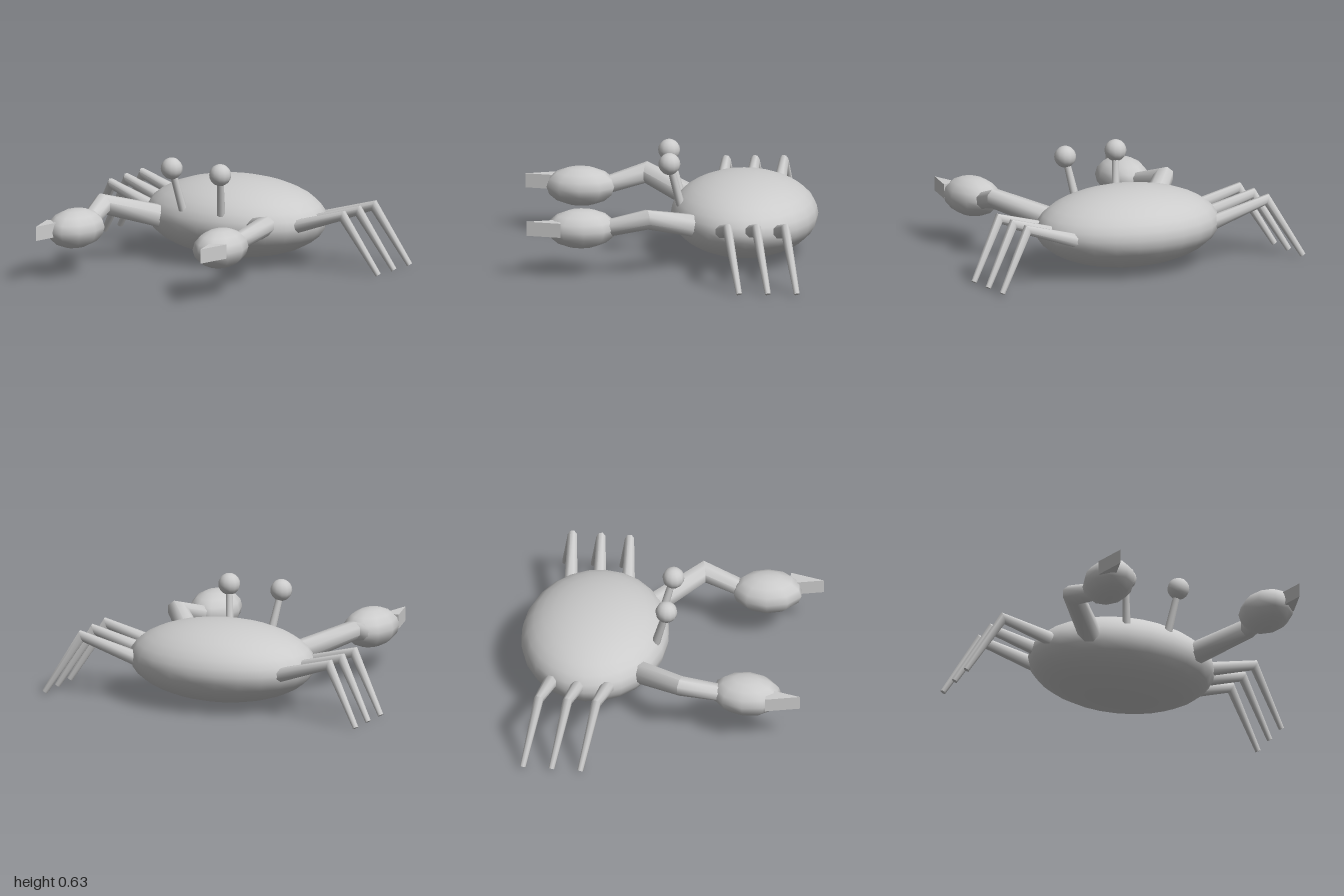
import * as THREE from 'three';
import { toCreasedNormals } from 'three/addons/utils/BufferGeometryUtils.js';

const material = new THREE.MeshStandardMaterial({ color: 0xcccccc });

function add(parent, name, geometry, position = [0, 0, 0], scale = [1, 1, 1]) {
  const mesh = new THREE.Mesh(geometry, material);
  mesh.name = name;
  mesh.position.set(...position);
  mesh.scale.set(...scale);
  parent.add(mesh);
  return mesh;
}

// Tapered limb along straight segments, mitred at the joints, capped at both ends
function limb(path, radii, sides = 8) {
  const points = path.map((p) => new THREE.Vector3(...p));
  const last = points.length - 1;
  const dirs = points.slice(1).map((p, i) => p.clone().sub(points[i]).normalize());
  let u = new THREE.Vector3(0, 1, 0).cross(dirs[0]).normalize();
  const vertices = [], index = [];
  points.forEach((p, i) => {
    const inDir = dirs[Math.max(i - 1, 0)];
    const outDir = dirs[Math.min(i, last - 1)];
    const mitre = inDir.clone().add(outDir).normalize();
    const v = inDir.clone().cross(u);
    for (let k = 0; k < sides; k++) {
      const a = ((k + 0.5) / sides) * Math.PI * 2;
      const o = u.clone().multiplyScalar(Math.cos(a) * radii[i]).addScaledVector(v, Math.sin(a) * radii[i]);
      o.addScaledVector(inDir, -o.dot(mitre) / inDir.dot(mitre));
      vertices.push(...o.add(p).toArray());
    }
    u.applyQuaternion(new THREE.Quaternion().setFromUnitVectors(inDir, outDir));
  });
  for (let i = 0; i < last; i++) {
    for (let k = 0; k < sides; k++) {
      const a = i * sides + k, b = i * sides + ((k + 1) % sides);
      index.push(a, b, b + sides, a, b + sides, a + sides);
    }
  }
  const end = last * sides;
  for (let k = 1; k < sides - 1; k++) {
    index.push(0, k + 1, k, end, end + k, end + k + 1);
  }
  const geometry = new THREE.BufferGeometry();
  geometry.setAttribute('position', new THREE.Float32BufferAttribute(vertices, 3));
  geometry.setIndex(index);
  return toCreasedNormals(geometry, 0.85);
}

// Upright triangular wedge pointing forward
function pincerGeometry() {
  const shape = new THREE.Shape();
  shape.moveTo(-0.05, 0);
  shape.lineTo(0, -0.195);
  shape.lineTo(0.05, 0);
  shape.closePath();
  const geometry = new THREE.ExtrudeGeometry(shape, { depth: 0.083, bevelEnabled: false });
  return geometry.rotateX(-Math.PI / 2);
}

export function createModel() {
  const crab = new THREE.Group();
  crab.name = 'crab';

  add(crab, 'shell', new THREE.SphereGeometry(1, 24, 16), [0, 0.24, -0.415], [0.555, 0.228, 0.422]);

  for (const [side, s] of [['left', 1], ['right', -1]]) {
    // Eye on its stalk
    const eye = new THREE.Group();
    eye.name = `${side}Eye`;
    add(eye, 'stalk', limb([[s * 0.13, 0.32, -0.05], [s * 0.165, 0.57, 0.015]], [0.025, 0.019]));
    add(eye, 'eyeball', new THREE.SphereGeometry(0.063, 12, 10), [s * 0.165, 0.57, 0.015]);
    crab.add(eye);

    // Front arm with claw and pincer
    const arm = new THREE.Group();
    arm.name = `${side}Arm`;
    const armPath = [[s * 0.33, 0.25, -0.115], [s * 0.55, 0.34, 0.145], [s * 0.5, 0.275, 0.38]];
    add(arm, 'armSegments', limb(armPath, [0.067, 0.058, 0.05]));
    const claw = add(arm, 'claw', new THREE.SphereGeometry(1, 10, 8), [s * 0.493, 0.275, 0.518], [0.145, 0.113, 0.203]);
    claw.rotation.y = s * 0.08;
    add(arm, 'pincer', pincerGeometry(), [s * 0.56, 0.248, 0.638]);
    crab.add(arm);

    // Three walking legs
    for (let i = 0; i < 3; i++) {
      const z = -0.165 * i;
      const path = [
        [s * 0.45, 0.24, -0.28 + z],
        [s * 0.785, 0.345, -0.314 + z],
        [s * 0.985, 0.01, -0.38 + z],
      ];
      add(crab, `${side}Leg${i + 1}`, limb(path, [0.042, 0.028, 0.017]));
    }
  }
  return crab;
}
